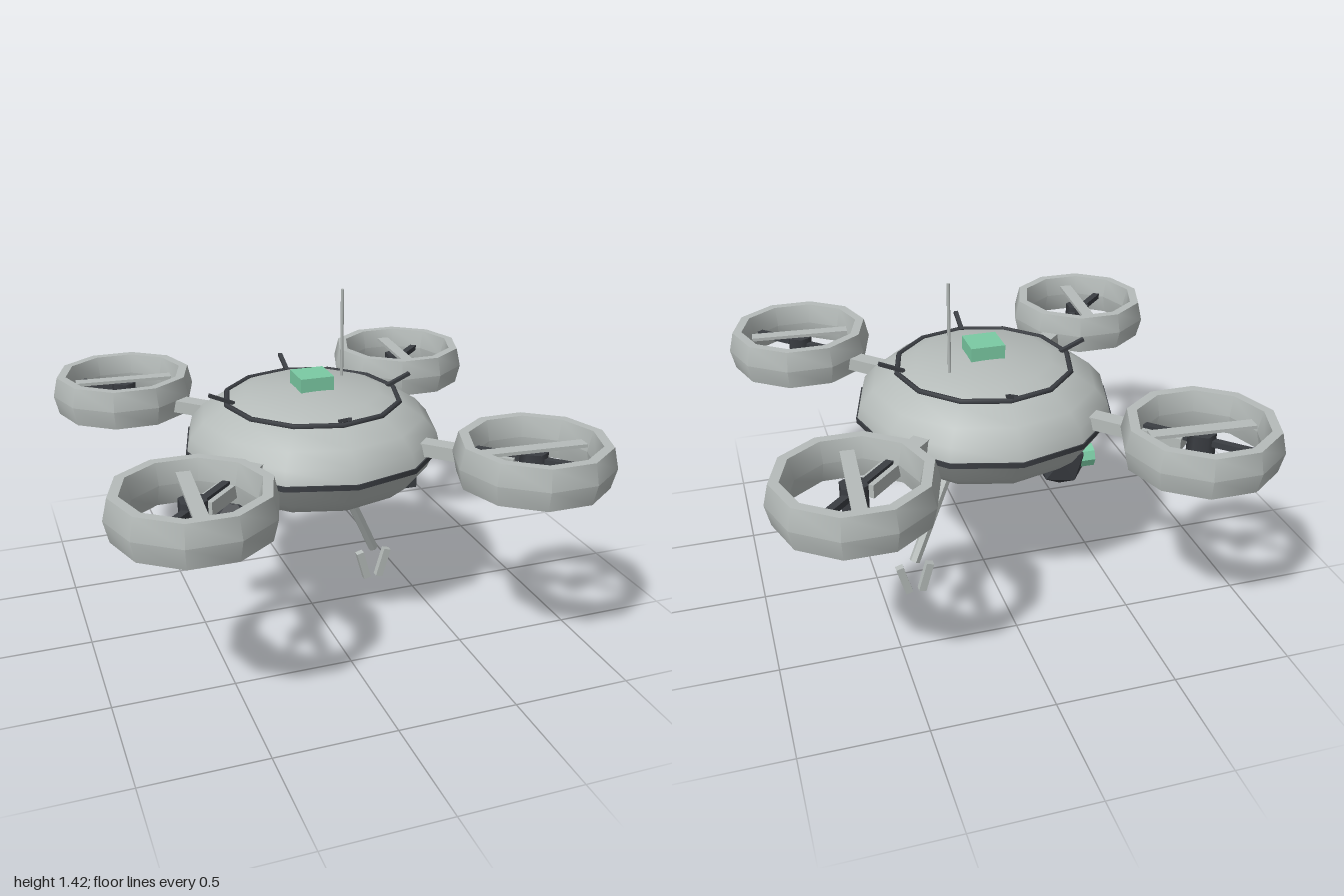
import * as THREE from 'three';
import { toCreasedNormals } from 'three/addons/utils/BufferGeometryUtils.js';

const material = (name, color) => {
  const m = new THREE.MeshStandardMaterial({ color });
  m.name = name;
  return m;
};

export function createModel() {
  const model = new THREE.Group();
  model.name = 'quadDrone';
  const light = material('lightGrey', 0xb6bcba);
  const dark = material('darkGrey', 0x3b3e43);
  const green = material('mintGreen', 0x7bcba4);

  const add = (name, geometry, mat, x = 0, y = 0, z = 0, parent = model) => {
    const mesh = new THREE.Mesh(geometry, mat);
    mesh.name = name;
    mesh.position.set(x, y, z);
    parent.add(mesh);
    return mesh;
  };
  const box = (w, h, d) => new THREE.BoxGeometry(w, h, d);
  const crease = (geometry) => toCreasedNormals(geometry, 0.75);
  // profile points run from bottom to top
  const lathe = (points, sides) =>
    crease(new THREE.LatheGeometry(points.map(([r, y]) => new THREE.Vector2(r, y)), sides));

  // saucer body
  add('belly', lathe([[0, 0.58], [0.27, 0.59], [0.425, 0.66]], 12), dark);
  add('lowerHull', lathe([[0.425, 0.66], [0.495, 0.72], [0.53, 0.8], [0.54, 0.81]], 12), light);
  add('rimBand', new THREE.CylinderGeometry(0.55, 0.55, 0.022, 12), dark, 0, 0.813, 0);
  add('upperHull', lathe([[0.545, 0.822], [0.53, 0.88], [0.475, 0.94], [0.39, 0.993],
    [0.29, 1.033], [0, 1.055]], 12), light);
  const seam = new THREE.TorusGeometry(0.37, 0.012, 6, 12).rotateX(Math.PI / 2);
  add('domeSeam', seam, dark, 0, 1.003, 0);

  // roof fittings
  add('roofBeacon', box(0.145, 0.06, 0.145), green, 0, 1.076, 0);
  add('antenna', new THREE.CylinderGeometry(0.007, 0.007, 0.4, 6), light, 0.178, 1.22, -0.12);
  for (let i = 0; i < 4; i++) {
    const spike = box(0.115, 0.014, 0.018).rotateZ(0.41).translate(0.392, 1.034, 0);
    add('roofSpike', spike.rotateY(i * Math.PI / 2), dark);
  }

  // four ducted rotors on diagonal struts
  const ductProfile = [[0.24, 0], [0.26, -0.085], [0.3, -0.085], [0.32, 0],
    [0.3, 0.085], [0.26, 0.085], [0.24, 0]];
  const duct = lathe(ductProfile, 10).rotateY(Math.PI / 2);
  for (const sx of [-1, 1]) {
    for (const sz of [-1, 1]) {
      const rotor = new THREE.Group();
      rotor.name = 'rotor';
      rotor.position.set(sx * 0.68, 0.89, sz * 0.68);
      model.add(rotor);
      add('duct', duct, light, 0, 0, 0, rotor);
      add('hub', new THREE.CylinderGeometry(0.056, 0.056, 0.1, 6), dark, 0, -0.015, 0, rotor);
      const blade = add('blade', box(0.43, 0.014, 0.055), light, 0, 0.045, 0, rotor);
      blade.rotation.y = -0.07 - (sx === sz ? 0 : Math.PI / 2);

      // local +x points away from the body
      const arm = new THREE.Group();
      arm.name = 'rotorArm';
      arm.rotation.y = Math.atan2(-sz, sx);
      rotor.add(arm);
      add('crossBar', box(0.5, 0.025, 0.03), dark, 0, 0, 0, arm);
      add('strut', box(0.41, 0.055, 0.072), light, -0.275, -0.028, 0, arm);
    }
  }

  // hanging camera ball on the right side
  add('cameraNeck', new THREE.CylinderGeometry(0.035, 0.035, 0.09, 8), dark, -0.36, 0.6, 0);
  const ball = new THREE.IcosahedronGeometry(0.12, 0)
    .rotateX(-Math.atan((1 + Math.sqrt(5)) / 2)).rotateY(Math.PI / 2);
  add('cameraBall', ball, dark, -0.36, 0.475, 0);
  const lens = crease(new THREE.CylinderGeometry(0.053, 0.053, 0.08, 8)).rotateZ(Math.PI / 2);
  add('cameraLens', lens, green, -0.469, 0.483, 0);

  // small sensor under the left side
  add('sensorBox', box(0.095, 0.06, 0.065), dark, 0.38, 0.617, 0.122);

  // sampling arm and its two-finger claw
  const shoulder = new THREE.Vector3(0.125, 0.62, -0.015);
  const wrist = new THREE.Vector3(0.355, 0.16, -0.143);
  const reach = wrist.clone().sub(shoulder);
  const middle = shoulder.clone().add(wrist).multiplyScalar(0.5);
  const grabber = add('samplingArm', crease(new THREE.CylinderGeometry(0.024, 0.024, reach.length(), 6)),
    light, middle.x, middle.y, middle.z);
  grabber.quaternion.setFromUnitVectors(new THREE.Vector3(0, 1, 0), reach.normalize());
  for (const side of [-1, 1]) {
    const finger = add('clawFinger', box(0.034, 0.142, 0.03), light, 0.356 + side * 0.049, 0.073, -0.145);
    finger.rotation.z = -side * 0.28;
  }

  return model;
}
